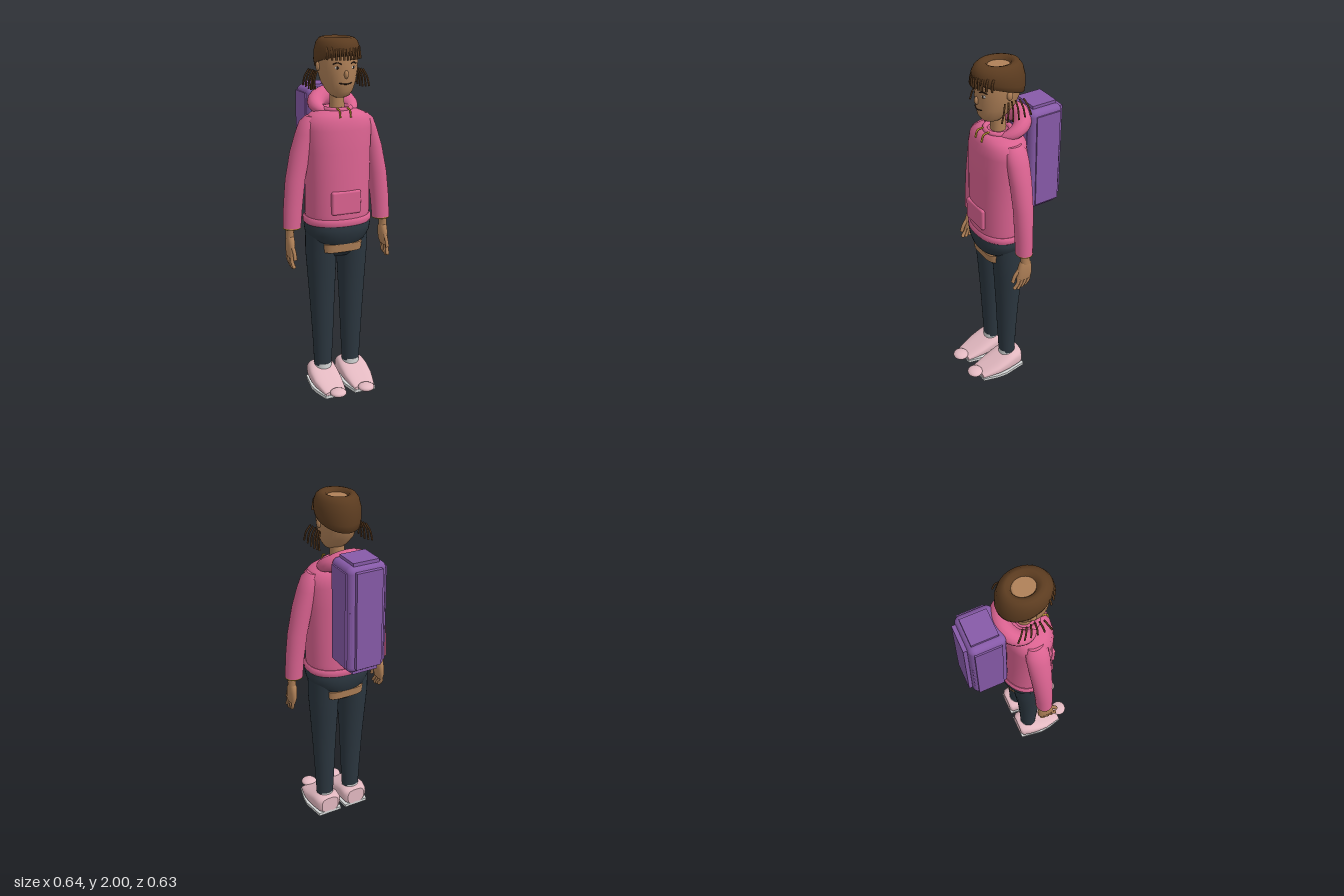
import * as THREE from 'three';
import { mergeVertices } from 'three/addons/utils/BufferGeometryUtils.js';
import { RoundedBoxGeometry } from 'three/addons/geometries/RoundedBoxGeometry.js';

const mat = (name, color, side = THREE.FrontSide) => {
  const m = new THREE.MeshStandardMaterial({ color, side });
  m.name = name;
  return m;
};

// Smooth skin over superellipse rings [y, cx, cz, rx, rz], bottom to top, with flat caps
function loft(rings, power = 2, n = 32) {
  const pos = [], idx = [];
  const sp = (v) => Math.sign(v) * Math.abs(v) ** (2 / power);
  const addRing = ([y, cx, cz, rx, rz]) => {
    for (let i = 0; i < n; i++) {
      const a = (i / n) * Math.PI * 2;
      pos.push(cx + rx * sp(Math.cos(a)), y, cz + rz * sp(Math.sin(a)));
    }
  };
  rings.forEach(addRing);
  for (let j = 0; j < rings.length - 1; j++) for (let i = 0; i < n; i++) {
    const k = (i + 1) % n, a = j * n + i, b = j * n + k;
    idx.push(a, a + n, b, b, a + n, b + n);
  }
  [rings[0], rings[rings.length - 1]].forEach((r, top) => {
    const s = pos.length / 3;
    addRing(r);
    pos.push(r[1], r[0], r[2]);
    for (let i = 0; i < n; i++) {
      const k = (i + 1) % n;
      if (top) idx.push(s + n, s + k, s + i); else idx.push(s + n, s + i, s + k);
    }
  });
  const g = new THREE.BufferGeometry();
  g.setAttribute('position', new THREE.Float32BufferAttribute(pos, 3));
  g.setIndex(idx);
  g.computeVertexNormals();
  return g;
}

// Moves every vertex by a rule, then smooths the result
function warp(geo, rule) {
  geo.deleteAttribute('normal');
  geo.deleteAttribute('uv');
  const g = mergeVertices(geo, 1e-5), p = g.attributes.position, v = new THREE.Vector3();
  for (let i = 0; i < p.count; i++) {
    rule(v.fromBufferAttribute(p, i));
    p.setXYZ(i, v.x, v.y, v.z);
  }
  g.computeVertexNormals();
  return g;
}

const tube = (pts, r, seg = 8) => new THREE.TubeGeometry(
  new THREE.CatmullRomCurve3(pts.map((p) => new THREE.Vector3(...p))), seg, r, 6);

export function createModel() {
  const root = new THREE.Group();
  root.name = 'studentWithBackpack';
  const skin = mat('skin', 0xb08158), hair = mat('hair', 0x5c3c20, THREE.DoubleSide);
  const pink = mat('hoodiePink', 0xdb6391), navy = mat('trouserNavy', 0x2b363f);
  const purple = mat('packPurple', 0x875aa8), rose = mat('shoeRose', 0xe3b9c1);
  const white = mat('soleWhite', 0xd6d8d8), gold = mat('trimGold', 0xc9a233);
  const dark = mat('featureDark', 0x2c1c14);

  const add = (name, geo, material, pos = [0, 0, 0], scale = [1, 1, 1], rot = [0, 0, 0]) => {
    const m = new THREE.Mesh(geo, material);
    m.name = name;
    m.position.set(...pos);
    m.scale.set(...scale);
    m.rotation.set(...rot);
    root.add(m);
    return m;
  };
  const ball = new THREE.SphereGeometry(1, 20, 14);

  // Hoodie body, hem, collar and front pocket
  add('hoodieBody', loft([
    [1.02, 0, 0.042, 0.178, 0.143], [1.06, 0, 0.042, 0.182, 0.146], [1.2, 0, 0.045, 0.181, 0.14],
    [1.4, 0, 0.043, 0.186, 0.138], [1.52, 0, 0.042, 0.192, 0.132], [1.57, 0, 0.04, 0.185, 0.124],
    [1.6, 0, 0.04, 0.15, 0.108], [1.617, 0, 0.04, 0.11, 0.088], [1.622, 0, 0.04, 0.06, 0.06],
  ], 2.2, 40), pink);
  add('hoodieHem', loft([
    [0.995, 0, 0.04, 0.186, 0.148], [1.003, 0, 0.04, 0.193, 0.154],
    [1.025, 0, 0.04, 0.193, 0.154], [1.035, 0, 0.04, 0.182, 0.146],
  ], 2.2, 40), pink);
  add('collar', new THREE.TorusGeometry(0.066, 0.014, 10, 32), pink, [0, 1.622, 0.04], [1.1, 1, 1], [Math.PI / 2, 0, 0]);
  add('frontPocket', new RoundedBoxGeometry(0.17, 0.13, 0.03, 4, 0.012), pink, [-0.005, 1.13, 0.178]);

  // Folded hood: a ring that thickens and rises towards the back
  add('hood', warp(new THREE.TorusGeometry(0.095, 0.056, 14, 40), (v) => {
    const t = Math.atan2(v.y, v.x), back = (Math.sin(t) + 1) / 2;
    const s = 0.25 + 0.75 * back ** 0.8, cx = 0.095 * Math.cos(t), cy = 0.095 * Math.sin(t);
    const x = cx + (v.x - cx) * s, y = cy + (v.y - cy) * s, h = v.z * s;
    v.set(x * 1.05, 1.595 + 0.078 * back + h, -y * 0.9 - 0.004);
  }), pink);

  // Head, neck, nose and mouth
  add('neck', new THREE.CylinderGeometry(0.038, 0.042, 0.16, 24), skin, [0, 1.67, 0.038]);
  add('head', loft([
    [1.688, 0, 0.08, 0.028, 0.03], [1.698, 0, 0.077, 0.05, 0.055], [1.725, 0, 0.068, 0.07, 0.083],
    [1.77, 0, 0.052, 0.092, 0.108], [1.83, 0, 0.04, 0.105, 0.123], [1.89, 0, 0.037, 0.11, 0.127],
    [1.94, 0, 0.037, 0.104, 0.118], [1.965, 0, 0.037, 0.085, 0.1], [1.98, 0, 0.037, 0.05, 0.055],
  ]), skin);
  add('nose', ball, skin, [0, 1.815, 0.163], [0.012, 0.022, 0.014]);
  add('mouth', tube([[-0.036, 1.77, 0.152], [0, 1.765, 0.162], [0.036, 1.77, 0.152]], 0.003), dark);

  // Hair ring, open at the crown, lower at the nape
  const hairProfile = [[0.86, 1.87], [0.96, 1.872], [1, 1.9], [0.985, 1.94], [0.9, 1.975], [0.76, 1.995],
    [0.62, 2], [0.48, 1.994], [0.4, 1.972]].map((p) => new THREE.Vector2(...p));
  add('hairCap', warp(new THREE.LatheGeometry(hairProfile, 40), (v) => {
    v.y += (v.z > 0 ? 0.04 : 0.05) * v.z * (2 - v.y) / 0.12;
    v.x *= 0.12;
    v.z = 0.034 + 0.143 * v.z;
  }), hair);
  for (let i = -5; i <= 5; i++) {
    const x = i * 0.0185, z = 0.034 + 0.143 * Math.sqrt(1 - (x / 0.12) ** 2);
    add('fringeStrand', tube([[x, 1.955, z - 0.008], [x, 1.925, z + 0.002], [x * 1.03, 1.89, z + 0.006]], 0.006), hair);
  }

  // Backpack: stepped panels around a rounded core
  add('packCore', new RoundedBoxGeometry(0.225, 0.6, 0.2, 5, 0.035), purple, [0, 1.415, -0.195]);
  add('packSides', new THREE.BoxGeometry(0.24, 0.54, 0.145), purple, [0, 1.415, -0.2]);
  add('packTopAndBase', new THREE.BoxGeometry(0.15, 0.632, 0.145), purple, [0, 1.415, -0.2]);
  add('packFrontAndBack', new THREE.BoxGeometry(0.15, 0.545, 0.225), purple, [0, 1.4175, -0.2025]);

  // Hips with the bare band beneath
  add('hips', loft([
    [0.88, 0, 0.036, 0.13, 0.122], [0.9, 0, 0.038, 0.158, 0.136], [0.94, 0, 0.04, 0.182, 0.147],
    [0.975, 0, 0.042, 0.188, 0.15], [1.02, 0, 0.042, 0.178, 0.142],
  ], 2.2, 40), navy);
  add('bareBand', loft([[0.838, 0, 0.036, 0.12, 0.12], [0.886, 0, 0.036, 0.124, 0.126]], 4), skin);
  add('crotch', loft([[0.8, 0, 0.036, 0.065, 0.07], [0.84, 0, 0.036, 0.08, 0.11]], 3), navy);

  // Paired parts
  for (const s of [-1, 1]) {
    const side = s > 0 ? 'left' : 'right';
    // Eye, brow and ear
    add(side + 'Eye', ball, white, [s * 0.045, 1.85, 0.15], [0.013, 0.007, 0.004], [0, s * 0.4, 0]);
    add(side + 'Pupil', ball, dark, [s * 0.045, 1.85, 0.153], [0.006, 0.007, 0.004], [0, s * 0.4, 0]);
    add(side + 'Brow', tube([[s * 0.025, 1.868, 0.16], [s * 0.045, 1.876, 0.154], [s * 0.066, 1.868, 0.139]], 0.003), dark);
    add(side + 'Ear', ball, skin, [s * 0.108, 1.85, 0.035], [0.012, 0.025, 0.017]);

    // Loose strands fanning beside the head
    for (let i = 0; i < 6; i++) {
      const f = 2.5 - i, z = 0.025 + f * 0.035;
      const out = -0.003 * Math.abs(f);
      add(side + 'HairStrand', tube([
        [s * (0.125 - out), 1.83, 0.025 + f * 0.022], [s * (0.143 - out), 1.79, 0.025 + f * 0.029],
        [s * (0.148 - out), 1.725 + Math.abs(f) * 0.006, z]], 0.005), hair);
    }

    // Drawstring and pack seam
    add(side + 'Drawstring', tube([[s * 0.03, 1.632, 0.11], [s * 0.03, 1.625, 0.145], [s * 0.03, 1.588, 0.158]], 0.005), gold);
    add(side + 'PackSeam', new THREE.CylinderGeometry(0.006, 0.006, 0.24, 8), purple, [s * 0.098, 1.35, -0.283]);

    // Sleeve and cuff trim
    add(side + 'Sleeve', loft([
      [0.982, s * 0.27, 0.045, 0.05, 0.046], [1.1, s * 0.262, 0.043, 0.053, 0.049],
      [1.25, s * 0.245, 0.038, 0.055, 0.054], [1.4, s * 0.214, 0.035, 0.055, 0.06],
      [1.5, s * 0.186, 0.034, 0.05, 0.063], [1.56, s * 0.166, 0.034, 0.046, 0.06],
      [1.59, s * 0.15, 0.034, 0.026, 0.04],
    ]), pink);
    add(side + 'CuffTrim', new THREE.TorusGeometry(0.046, 0.005, 8, 28), gold, [s * 0.27, 0.982, 0.045], [1, 0.92, 1], [Math.PI / 2, 0, 0]);

    // Forearm, palm, fingers and thumb
    add(side + 'Wrist', loft([
      [0.925, s * 0.284, 0.045, 0.023, 0.026], [0.96, s * 0.284, 0.045, 0.022, 0.028], [1, s * 0.28, 0.045, 0.026, 0.03],
    ], 2, 20), skin);
    add(side + 'Palm', loft([
      [0.82, s * 0.287, 0.055, 0.013, 0.042], [0.85, s * 0.285, 0.052, 0.02, 0.047], [0.89, s * 0.283, 0.049, 0.023, 0.044],
      [0.925, s * 0.283, 0.046, 0.022, 0.034], [0.94, s * 0.284, 0.045, 0.015, 0.022],
    ], 2.3, 20), skin);
    for (let i = 0; i < 4; i++) {
      const z = 0.024 + i * 0.022, tip = 0.768 + 0.006 * Math.abs(i - 2);
      add(side + 'Finger', tube([[s * 0.287, 0.845, z], [s * 0.29, 0.805, z + 0.004], [s * 0.286, tip, z + 0.022]], 0.0105), skin);
      add(side + 'FingerTip', ball, skin, [s * 0.286, tip, z + 0.022], [0.0105, 0.0105, 0.0105]);
    }
    add(side + 'Thumb', tube([[s * 0.282, 0.89, 0.08], [s * 0.28, 0.855, 0.107], [s * 0.28, 0.815, 0.122]], 0.011), skin);

    // Trouser leg and ankle sock
    add(side + 'Leg', loft([
      [0.12, s * 0.088, 0.04, 0.051, 0.048], [0.3, s * 0.088, 0.04, 0.06, 0.056], [0.5, s * 0.09, 0.038, 0.07, 0.066],
      [0.7, s * 0.092, 0.034, 0.081, 0.082], [0.82, s * 0.094, 0.032, 0.087, 0.093], [0.95, s * 0.093, 0.032, 0.087, 0.1],
    ]), navy);
    add(side + 'Sock', new THREE.CylinderGeometry(0.05, 0.05, 0.03, 24), white, [s * 0.088, 0.118, 0.04]);

    // Shoe: rings run from heel to toe, then the loft is laid forward
    const shoe = [[-0.035, 0.09, 0.055, 0.112], [-0.02, 0.09, 0.076, 0.121], [0.03, 0.093, 0.084, 0.124],
      [0.075, 0.095, 0.086, 0.108], [0.14, 0.095, 0.083, 0.079], [0.2, 0.092, 0.071, 0.055], [0.242, 0.09, 0.061, 0.037]]
      .map(([z, x, rx, top]) => [z, s * x, -(top + 0.012) / 2, rx, (top - 0.012) / 2]);
    add(side + 'Shoe', loft(shoe, 3).rotateX(Math.PI / 2), rose);
    const sole = new THREE.Shape([[0.015, -0.035], [0.165, -0.035], [0.185, 0.1], [0.178, 0.16], [0.155, 0.245],
      [0.028, 0.245], [0.008, 0.16], [0.004, 0.1]].map(([x, z]) => new THREE.Vector2(s * x, -z)));
    add(side + 'Sole', new THREE.ExtrudeGeometry(sole, { depth: 0.018, bevelEnabled: false }).rotateX(-Math.PI / 2), white);
    add(side + 'ToePuff', ball, rose, [s * 0.087, 0.04, 0.267], [0.047, 0.021, 0.045]);
  }
  return root;
}
